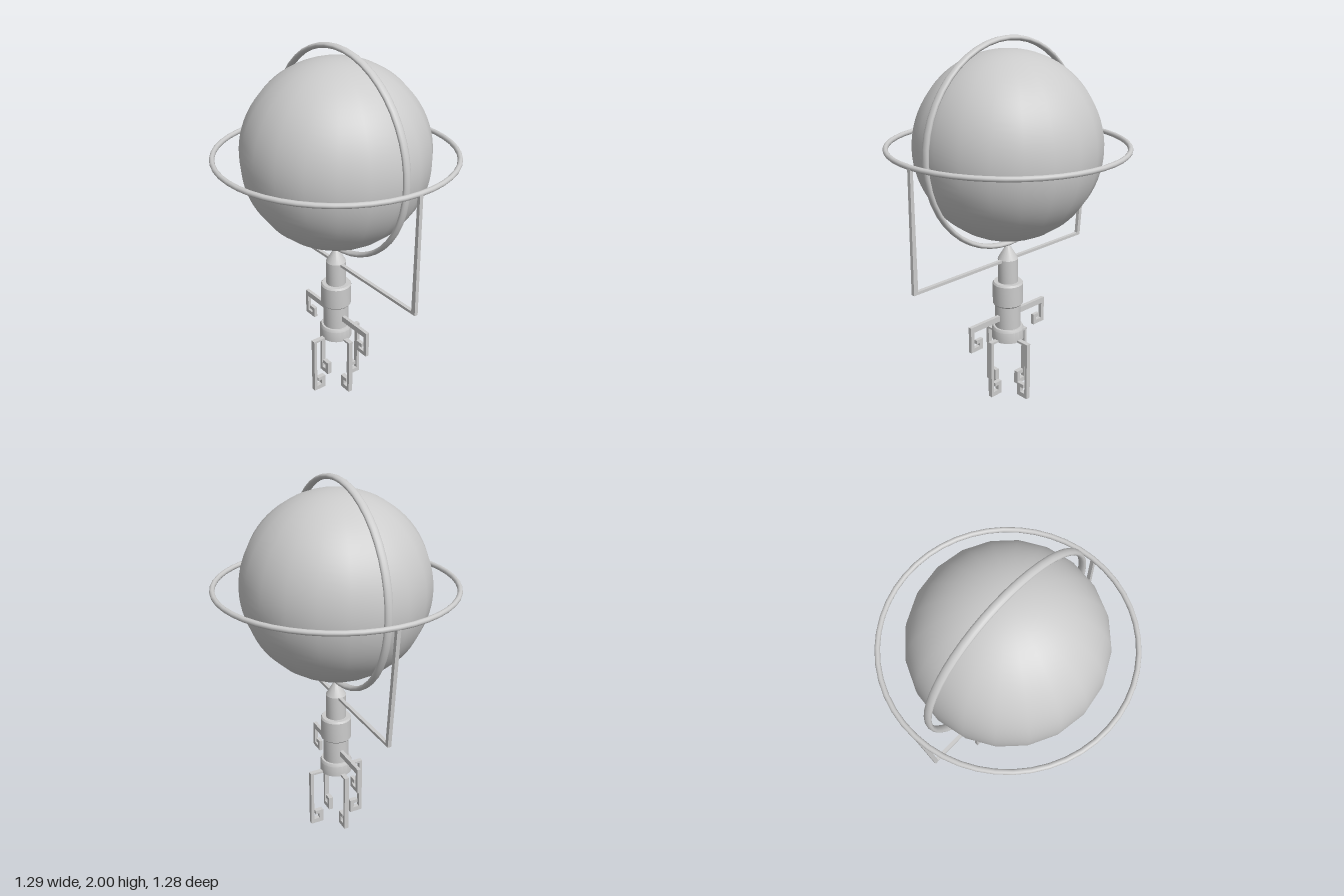
import * as THREE from 'three';
import { toCreasedNormals } from 'three/addons/utils/BufferGeometryUtils.js';

const material = new THREE.MeshStandardMaterial({ color: 0xcccccc });
const AXIS = -0.005;   // x of the vertical axis
const GLOBE_Y = 1.445;

function add(parent, name, geometry, x = 0, y = 0, z = 0) {
  const mesh = new THREE.Mesh(geometry, material);
  mesh.name = name;
  mesh.position.set(x, y, z);
  parent.add(mesh);
  return mesh;
}

// Flat plate cut from an outline, centred on its depth
function plate(points, depth) {
  const shape = new THREE.Shape(points.map(([x, y]) => new THREE.Vector2(x, y)));
  return new THREE.ExtrudeGeometry(shape, { depth, bevelEnabled: false }).translate(0, 0, -depth / 2);
}

// Square-cornered leg ending in an inward scroll, r = outer reach
function legOutline(r) {
  return [
    [0.08, 0.345], [r, 0.345], [r, 0], [r - 0.075, 0], [r - 0.075, 0.08], [r - 0.027, 0.08],
    [r - 0.027, 0.058], [r - 0.052, 0.058], [r - 0.052, 0.027], [r - 0.018, 0.027],
    [r - 0.018, 0.333], [0.08, 0.333],
  ];
}

const armOutline = [
  [0.05, 0.49], [0.285, 0.49], [0.285, 0.34], [0.2, 0.34], [0.2, 0.402], [0.245, 0.402],
  [0.245, 0.38], [0.222, 0.38], [0.222, 0.363], [0.263, 0.363], [0.263, 0.457], [0.05, 0.457],
];

export function createModel() {
  const model = new THREE.Group();
  model.name = 'globeOnStand';

  // Globe and its two rings
  add(model, 'globe', new THREE.SphereGeometry(0.495, 20, 40), AXIS, 1.44, 0);
  const meridian = new THREE.TorusGeometry(0.542, 0.0135, 12, 48).scale(1, 1, 1.6);
  add(model, 'meridianRing', meridian, AXIS, GLOBE_Y, 0);
  const horizon = new THREE.TorusGeometry(0.628, 0.0135, 12, 48).rotateX(Math.PI / 2);
  add(model, 'horizonRing', horizon, AXIS, GLOBE_Y, 0);

  // Slightly skewed cradle carrying the horizon ring
  const cradle = [
    [-0.643, 1.445], [-0.593, 0.802], [0.645, 0.802], [0.636, 1.445],
    [0.619, 1.445], [0.619, 0.817], [-0.571, 0.817], [-0.62, 1.445],
  ];
  add(model, 'cradle', plate(cradle, 0.02));

  // Turned column
  const profile = [
    [0, 0.333], [0.09, 0.333], [0.09, 0.395], [0.083, 0.41], [0.072, 0.41], [0.072, 0.545],
    [0.078, 0.545], [0.085, 0.553], [0.085, 0.67], [0.078, 0.68], [0.056, 0.68],
    [0.056, 0.815], [0.015, 0.885], [0, 0.895],
  ].map(([r, y]) => new THREE.Vector2(r, y));
  add(model, 'column', toCreasedNormals(new THREE.LatheGeometry(profile, 20), 0.5), AXIS, 0, 0);

  // Scrolled side arms, left and right
  for (const [name, angle] of [['leftArm', 0], ['rightArm', Math.PI]]) {
    add(model, name, plate(armOutline, 0.02), AXIS, 0, 0).rotation.y = angle;
  }

  // Four scrolled legs; the front and back pair reach further out
  ['leftLeg', 'backLeg', 'rightLeg', 'frontLeg'].forEach((name, i) => {
    const reach = i % 2 ? 0.164 : 0.14;
    add(model, name, plate(legOutline(reach), 0.026), AXIS, 0, 0).rotation.y = i * Math.PI / 2;
  });

  return model;
}
